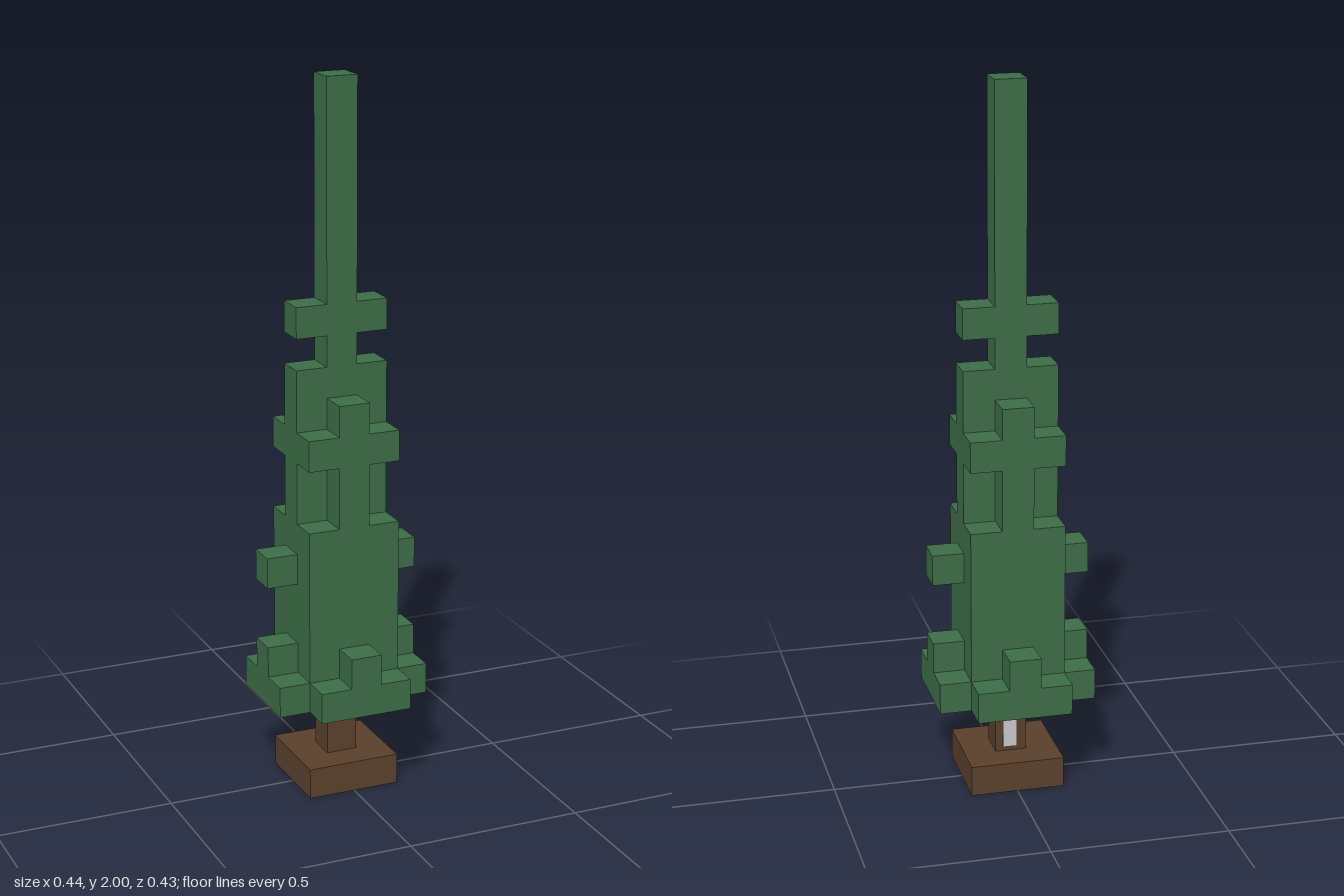
import * as THREE from 'three';

// size of one block, and the centre of the block grid
const UX = 0.0885, UY = 2 / 23, UZ = 0.0854;
const CX = -0.001, CZ = -0.0015;

const leafGreen = new THREE.MeshStandardMaterial({ color: 0x3d6e47 });
leafGreen.name = 'leafGreen';
const barkBrown = new THREE.MeshStandardMaterial({ color: 0x5b402c });
barkBrown.name = 'barkBrown';
const paleGrey = new THREE.MeshStandardMaterial({ color: 0xc9c9cd });
paleGrey.name = 'paleGrey';

export function createModel() {
  const tree = new THREE.Group();
  tree.name = 'blockTree';

  // box of nx * nz blocks centred on column (x, z), from row y0 up to row y1
  const block = (name, material, nx, nz, y0, y1, x = 0, z = 0) => {
    const mesh = new THREE.Mesh(new THREE.BoxGeometry(nx * UX, (y1 - y0) * UY, nz * UZ), material);
    mesh.position.set(CX + x * UX, (y0 + y1) / 2 * UY, CZ + z * UZ);
    mesh.name = name;
    tree.add(mesh);
  };
  // plus-shaped layer: one long bar and two arms
  const plus = (name, y0, y1) => {
    block(name, leafGreen, 3, 1, y0, y1);
    for (const z of [-1, 1]) block(name + 'Arm', leafGreen, 1, 1, y0, y1, 0, z);
  };

  // foot and trunk
  block('foot', barkBrown, 3, 3, 0, 1);
  block('trunk', barkBrown, 1, 1, 1, 3);

  // thin plate on the back of the trunk
  const plate = new THREE.Mesh(new THREE.BoxGeometry(0.04, 0.15, 0.005), paleGrey);
  plate.position.set(0.002, 0.175, CZ - UZ / 2 - 0.0025);
  plate.name = 'trunkPlate';
  tree.add(plate);

  // wide skirt without its corners
  block('skirt', leafGreen, 5, 3, 3, 4);
  for (const z of [-2, 2]) block('skirtEdge', leafGreen, 3, 1, 3, 4, 0, z);

  // main body and the stubs around it
  block('lowerFoliage', leafGreen, 3, 3, 4, 9);
  for (const s of [-2, 2]) {
    block('skirtStub', leafGreen, 1, 1, 4, 5, s, 0);
    block('skirtStub', leafGreen, 1, 1, 4, 5, 0, s);
    block('sideStub', leafGreen, 1, 1, 7, 8, s, 0);
  }

  // upper layers
  plus('neckFoliage', 9, 11);
  block('upperFoliage', leafGreen, 3, 3, 11, 12);
  plus('crownFoliage', 12, 13);
  block('crownBar', leafGreen, 3, 1, 13, 14);

  // spire with one cross branch
  block('spire', leafGreen, 1, 1, 14, 23);
  for (const x of [-1, 1]) block('spireBranch', leafGreen, 1, 1, 15, 16, x, 0);

  return tree;
}
